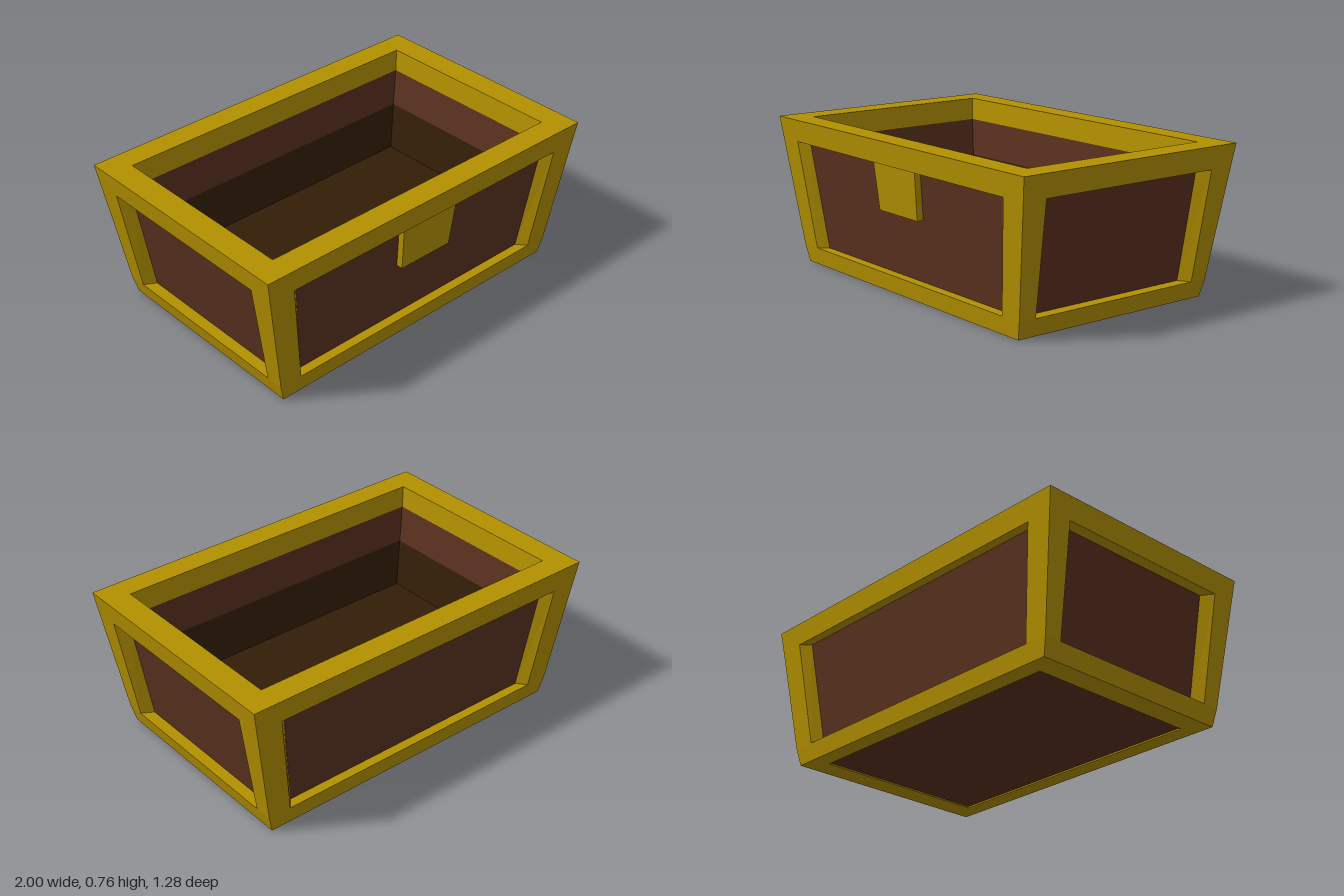
import * as THREE from 'three';

const gold = new THREE.MeshStandardMaterial({ color: 0xb39000 });
gold.name = 'gold trim';
const wood = new THREE.MeshStandardMaterial({ color: 0x5a311f });
wood.name = 'brown wood';
const dark = new THREE.MeshStandardMaterial({ color: 0x331d07 });
dark.name = 'dark lining';

// Flat-faced skin over rows of matching points, each row running counterclockwise seen from above
function skin(rows, closed) {
  const pos = [];
  for (let i = 0; i < rows.length - 1; i++) {
    const a = rows[i], b = rows[i + 1], n = a.length;
    for (let j = 0; j < (closed ? n : n - 1); j++) {
      const k = (j + 1) % n;
      pos.push(...a[j], ...a[k], ...b[k], ...a[j], ...b[k], ...b[j]);
    }
  }
  const g = new THREE.BufferGeometry();
  g.setAttribute('position', new THREE.Float32BufferAttribute(pos, 3));
  g.computeVertexNormals();
  return g;
}

// Rectangular ring from a profile of [half width, half depth, height]; goes up outside, down inside
const ring = (profile) => skin(profile.map(([x, z, y]) =>
  [[x, y, z], [x, y, -z], [-x, y, -z], [-x, y, z]]), true);

export function createModel() {
  const group = new THREE.Group();
  const add = (name, geometry, material) => {
    const mesh = new THREE.Mesh(geometry, material);
    mesh.name = name;
    group.add(mesh);
  };

  // Gold frames around the base and the open top
  add('bottomFrame', ring([[0.75, 0.47, 0.01], [0.75, 0.47, 0], [0.867, 0.56, 0],
    [0.89, 0.573, 0.09], [0.8, 0.48, 0.09]]), gold);
  add('topRim', ring([[0.9, 0.56, 0.645], [0.981, 0.628, 0.645], [1, 0.64, 0.76],
    [0.868, 0.515, 0.76], [0.858, 0.508, 0.645], [0.9, 0.56, 0.645]]), gold);

  // Recessed wooden walls and underside
  add('wallPanels', ring([[0.83, 0.523, 0.09], [0.92, 0.58, 0.645],
    [0.858, 0.508, 0.645], [0.833, 0.494, 0.45]]), wood);
  add('bottomPanel', ring([[0, 0, 0.008], [0.755, 0.475, 0.008]]), wood);

  // Dark lower lining and raised floor inside
  add('lining', ring([[0.833, 0.494, 0.45], [0.8, 0.475, 0.2], [0, 0, 0.2]]), dark);

  // Corner posts with bevelled reveals beside the panels
  const low = [[0.73, 0.523], [0.77, 0.573], [0.89, 0.573], [0.89, 0.48], [0.83, 0.445]];
  const high = [[0.8, 0.58], [0.845, 0.628], [0.981, 0.628], [0.981, 0.5], [0.92, 0.46]];
  for (const sx of [1, -1]) for (const sz of [1, -1]) {
    const row = (points, y) => {
      const r = points.map(([x, z]) => [sx * x, y, sz * z]);
      return sx * sz < 0 ? r.reverse() : r;
    };
    add('cornerPost', skin([row(low, 0.09), row(high, 0.645)], false), gold);
  }

  // Latch plate hanging below the front rim
  const plate = (w, front, back, y) => [[w, y, front], [w, y, back], [-w, y, back], [-w, y, front]];
  add('latchPlate', skin([plate(0, 0.565, 0.565, 0.405), plate(0.155, 0.59, 0.54, 0.405),
    plate(0.17, 0.613, 0.57, 0.645)], true), gold);

  return group;
}
